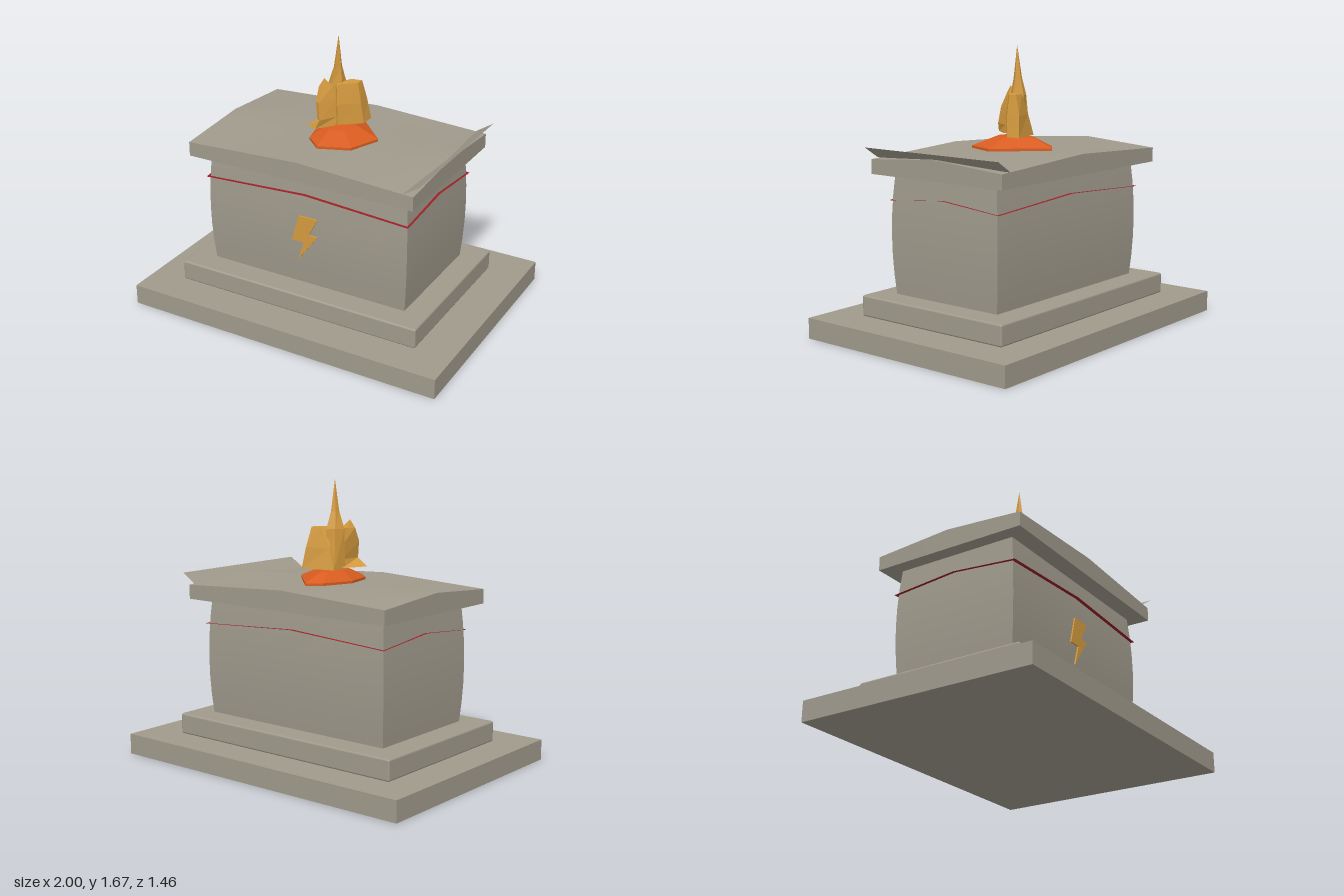
import * as THREE from 'three';
import { RoundedBoxGeometry } from 'three/addons/geometries/RoundedBoxGeometry.js';

const mat = (name, color, extra = {}) => {
  const m = new THREE.MeshStandardMaterial({ color, ...extra });
  m.name = name;
  return m;
};

// Closed solid through rings of [y, [[x, z], ...]], ending in a flat cap or a tip [x, y, z]
function loft(rings, tip) {
  const pos = [];
  const n = rings[0][1].length;
  const at = (r, i) => {
    const [x, z] = r[1][i % n];
    return [x, r[0], z];
  };
  const tri = (a, b, c) => pos.push(...a, ...b, ...c);
  for (let k = 0; k + 1 < rings.length; k++) {
    for (let i = 0; i < n; i++) {
      const a = at(rings[k], i), b = at(rings[k], i + 1);
      const c = at(rings[k + 1], i + 1), d = at(rings[k + 1], i);
      tri(a, b, c);
      tri(a, c, d);
    }
  }
  const first = rings[0], last = rings[rings.length - 1];
  for (let i = 0; i < n; i++) {
    if (tip) tri(at(last, i), at(last, i + 1), tip);
    else if (i > 0 && i < n - 1) tri(at(last, 0), at(last, i), at(last, i + 1));
    if (i > 0 && i < n - 1) tri(at(first, 0), at(first, i + 1), at(first, i));
  }
  const g = new THREE.BufferGeometry();
  g.setAttribute('position', new THREE.Float32BufferAttribute(pos, 3));
  g.computeVertexNormals();
  return g;
}

// Move every vertex of a geometry by a rule
function warp(g, rule) {
  const p = g.attributes.position;
  const v = new THREE.Vector3();
  for (let i = 0; i < p.count; i++) {
    rule(v.fromBufferAttribute(p, i));
    p.setXYZ(i, v.x, v.y, v.z);
  }
  g.computeVertexNormals();
  return g;
}

export function createModel() {
  const model = new THREE.Group();
  const stone = mat('stone', 0xa09a8c, { side: THREE.DoubleSide });
  const gold = mat('gold', 0xd49a3e, { side: THREE.DoubleSide, flatShading: true });
  const ember = mat('ember orange', 0xd85c20, { flatShading: true });
  const red = mat('dark red', 0x9c1f26, { side: THREE.DoubleSide, flatShading: true });

  const add = (name, geometry, material, x = 0, y = 0, z = 0) => {
    const m = new THREE.Mesh(geometry, material);
    m.name = name;
    m.position.set(x, y, z);
    model.add(m);
    return m;
  };

  // Stepped base
  add('lowerStep', new THREE.BoxGeometry(2, 0.123, 1.46), stone, 0, 0.0615, 0);
  add('upperStep', new RoundedBoxGeometry(1.57, 0.125, 1.04, 2, 0.012), stone, -0.01, 0.185, 0);

  // Altar block, swelling slightly at mid height
  const block = warp(new THREE.BoxGeometry(1.28, 0.7, 0.75, 6, 6, 6), (v) => {
    const swell = 1 - (v.y / 0.35) ** 2;
    v.x *= 1 + 0.025 * swell;
    v.z *= 1 + 0.05 * swell;
  });
  add('altarBlock', block, stone, -0.005, 0.6, 0);

  // Lid with a gently crowned top that drops at the corners
  const lid = warp(new THREE.BoxGeometry(1.45, 0.12, 0.96, 6, 1, 6), (v) => {
    if (v.y > 0) v.y -= 0.035 * Math.abs(v.x / 0.725) * Math.abs(v.z / 0.48);
  });
  add('lid', lid, stone, -0.005, 1.01, 0);

  // Thin tilted sheet along one end of the lid
  const sheet = warp(new THREE.PlaneGeometry(1, 0.98), (v) => {
    const t = v.x + 0.5;
    v.set(0.66 + 0.1 * t, 1.04 + 0.065 * t, -v.y);
  });
  add('lidEndSheet', sheet, stone);

  // Flat ribbon around the block, rising to the middle of each side
  const ribbonPos = [];
  const ribbonIdx = [];
  const around = [[-1, 1], [0, 1], [1, 1], [1, 0], [1, -1], [0, -1], [-1, -1], [-1, 0]];
  around.forEach(([sx, sz], i) => {
    const y = sx && sz ? 0.798 : 0.835;
    ribbonPos.push(sx * 0.64, y, sz * 0.38, sx * 0.665, y, sz * 0.408);
    const a = i * 2, b = ((i + 1) % 8) * 2;
    ribbonIdx.push(a, a + 1, b + 1, a, b + 1, b);
  });
  const ribbon = new THREE.BufferGeometry();
  ribbon.setAttribute('position', new THREE.Float32BufferAttribute(ribbonPos, 3));
  ribbon.setIndex(ribbonIdx);
  ribbon.computeVertexNormals();
  add('ribbon', ribbon, red, -0.005, 0, 0);

  // Lightning bolt on the front
  const bolt = new THREE.Shape([
    [-0.04, 0.695], [0.083, 0.695], [0.024, 0.583], [0.083, 0.583],
    [-0.05, 0.406], [-0.008, 0.53], [-0.088, 0.53],
  ].map(([x, y]) => new THREE.Vector2(x, y)));
  add('lightningBolt', new THREE.ExtrudeGeometry(bolt, { depth: 0.009, bevelEnabled: false }), gold, 0, 0, 0.394);

  // Ember mound
  const mound = [[-0.145, -0.01], [-0.1, 0.17], [0, 0.26], [0.18, 0.19],
    [0.255, 0], [0.1, -0.16], [0, -0.26], [-0.08, -0.2]];
  const shrink = (s) => mound.map(([x, z]) => [x * s, z * s]);
  add('emberMound', loft([[1.07, mound], [1.085, mound], [1.135, shrink(0.5)]], [0, 1.155, 0]), ember);

  // Flame: tall central tongue, blunt rear tongue, hooked front tongue
  add('centralFlame', loft([
    [1.14, [[-0.06, 0.03], [-0.01, 0.07], [0.05, 0.02], [0.03, -0.07], [-0.05, -0.06]]],
    [1.38, [[-0.06, 0.02], [-0.02, 0.06], [0.025, 0.01], [0.01, -0.06], [-0.04, -0.04]]],
    [1.48, [[-0.03, 0.01], [-0.01, 0.03], [0.012, 0], [0, -0.03], [-0.025, -0.02]]],
  ], [-0.005, 1.67, 0]), gold);
  add('rearFlame', loft([
    [1.145, [[0.02, 0.06], [0.14, -0.04], [0.14, -0.13], [-0.06, -0.08], [-0.05, 0]]],
    [1.27, [[0.02, 0.06], [0.125, -0.03], [0.12, -0.115], [-0.02, -0.07], [-0.03, 0]]],
    [1.39, [[0.01, 0.05], [0.105, -0.03], [0.105, -0.08], [0.04, -0.07], [0.01, 0]]],
  ]), gold);
  add('frontFlame', loft([
    [1.15, [[-0.125, 0.155], [-0.055, 0.18], [0.02, 0.08], [-0.06, 0]]],
    [1.2, [[-0.06, 0.15], [-0.035, 0.17], [0.02, 0.07], [-0.05, 0.01]]],
    [1.3, [[-0.075, 0.14], [-0.045, 0.155], [0.01, 0.06], [-0.06, 0.02]]],
    [1.38, [[-0.077, 0.1], [-0.05, 0.115], [-0.01, 0.06], [-0.06, 0.05]]],
  ], [-0.05, 1.43, 0.085]), gold);

  return model;
}
